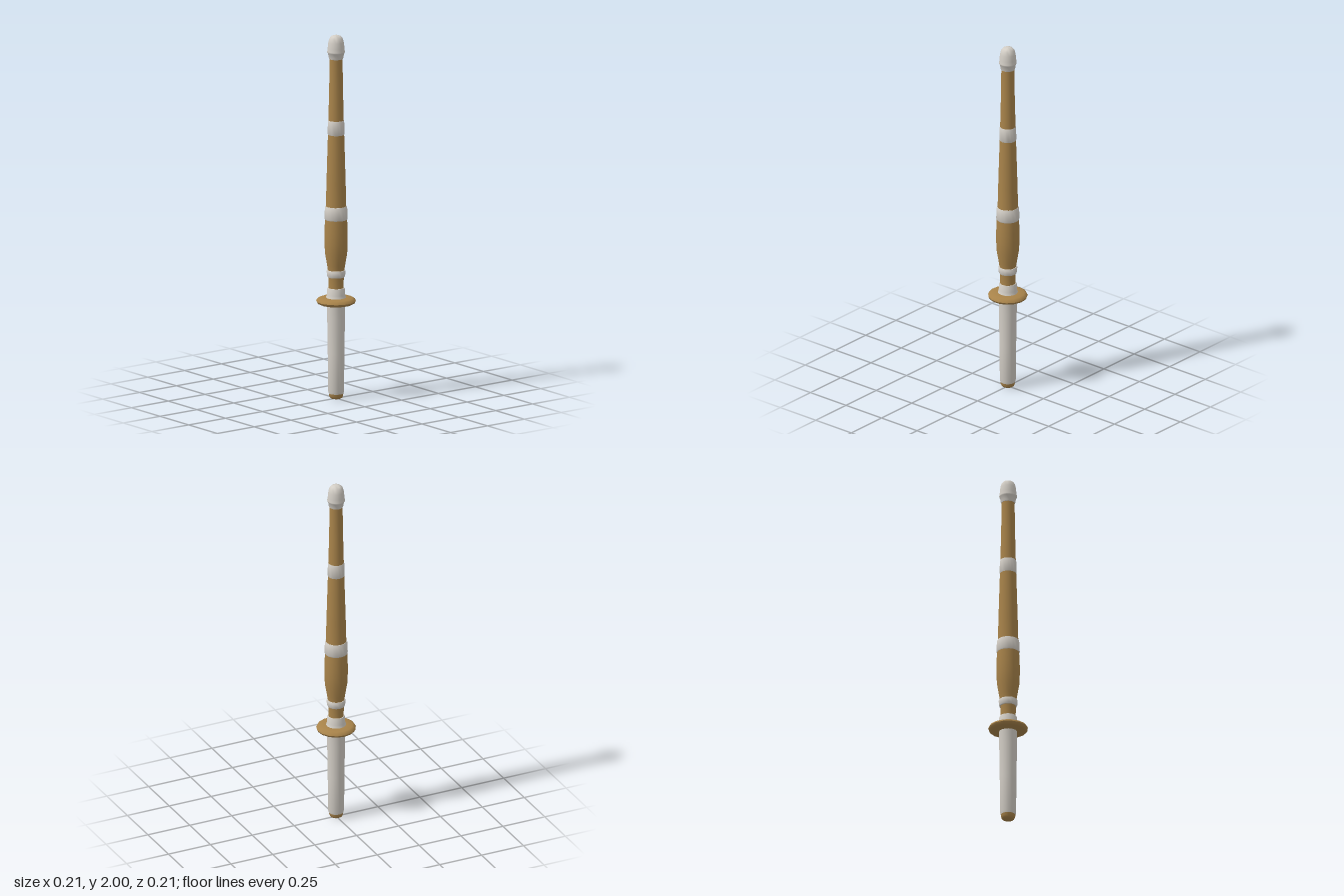
import * as THREE from 'three';
import { toCreasedNormals } from 'three/addons/utils/BufferGeometryUtils.js';

export function createModel() {
  const model = new THREE.Group();
  model.name = 'practiceSword';
  const bamboo = new THREE.MeshStandardMaterial({ name: 'bamboo', color: 0xa8834a });
  const leather = new THREE.MeshStandardMaterial({ name: 'leather', color: 0xd2cdc5 });

  // Turned part from [radius, height] points, bottom to top
  function turned(name, material, points, sides = 16) {
    const profile = points.map(([r, y]) => new THREE.Vector2(r, y));
    const lathe = new THREE.LatheGeometry(profile, sides, Math.PI);
    const mesh = new THREE.Mesh(toCreasedNormals(lathe, 0.75), material);
    mesh.name = name;
    model.add(mesh);
  }

  // Leather ring with softened edges
  function band(name, y0, y1, rBottom, rTop) {
    const e = 0.007;
    turned(name, leather, [
      [rBottom - 0.012, y0], [rBottom - 0.003, y0 + 0.001], [rBottom, y0 + e],
      [rTop, y1 - e], [rTop - 0.003, y1 - 0.001], [rTop - 0.012, y1],
    ]);
  }

  // Grip below the guard
  turned('buttPlug', bamboo, [
    [0, 0], [0.025, 0], [0.033, 0.005], [0.038, 0.016], [0.04, 0.034], [0, 0.034],
  ]);
  turned('gripSleeve', leather, [
    [0, 0.028], [0.04, 0.028], [0.043, 0.04], [0.045, 0.25], [0.048, 0.44], [0.049, 0.525], [0, 0.525],
  ]);

  // Round hand guard
  turned('handGuard', bamboo, [
    [0, 0.518], [0.06, 0.518], [0.09, 0.521], [0.102, 0.527], [0.107, 0.537],
    [0.102, 0.547], [0.09, 0.553], [0.06, 0.556], [0, 0.556],
  ], 15);

  // Blade, swelling above the guard and tapering to the tip
  turned('blade', bamboo, [
    [0.042, 0.55], [0.041, 0.62], [0.042, 0.69], [0.049, 0.735], [0.06, 0.80],
    [0.063, 0.86], [0.063, 0.91], [0.06, 0.98], [0.055, 1.06], [0.052, 1.18],
    [0.048, 1.32], [0.044, 1.45], [0.041, 1.55], [0.037, 1.72], [0.035, 1.88],
  ]);

  // Leather fittings
  turned('guardCollar', leather, [
    [0.056, 0.55], [0.053, 0.56], [0.049, 0.572], [0.048, 0.602], [0.045, 0.609], [0.038, 0.61],
  ]);
  band('lowerBand', 0.668, 0.708, 0.049, 0.051);
  band('middleBand', 0.985, 1.06, 0.063, 0.06);
  band('upperBand', 1.45, 1.534, 0.046, 0.044);

  // Rounded tip cap with a raised ring
  turned('tipCap', leather, [
    [0.032, 1.868], [0.037, 1.87], [0.04, 1.878], [0.043, 1.9], [0.047, 1.904],
    [0.048, 1.911], [0.046, 1.918], [0.045, 1.93], [0.042, 1.96], [0.036, 1.982],
    [0.026, 1.994], [0.013, 1.999], [0, 2],
  ], 20);

  return model;
}
